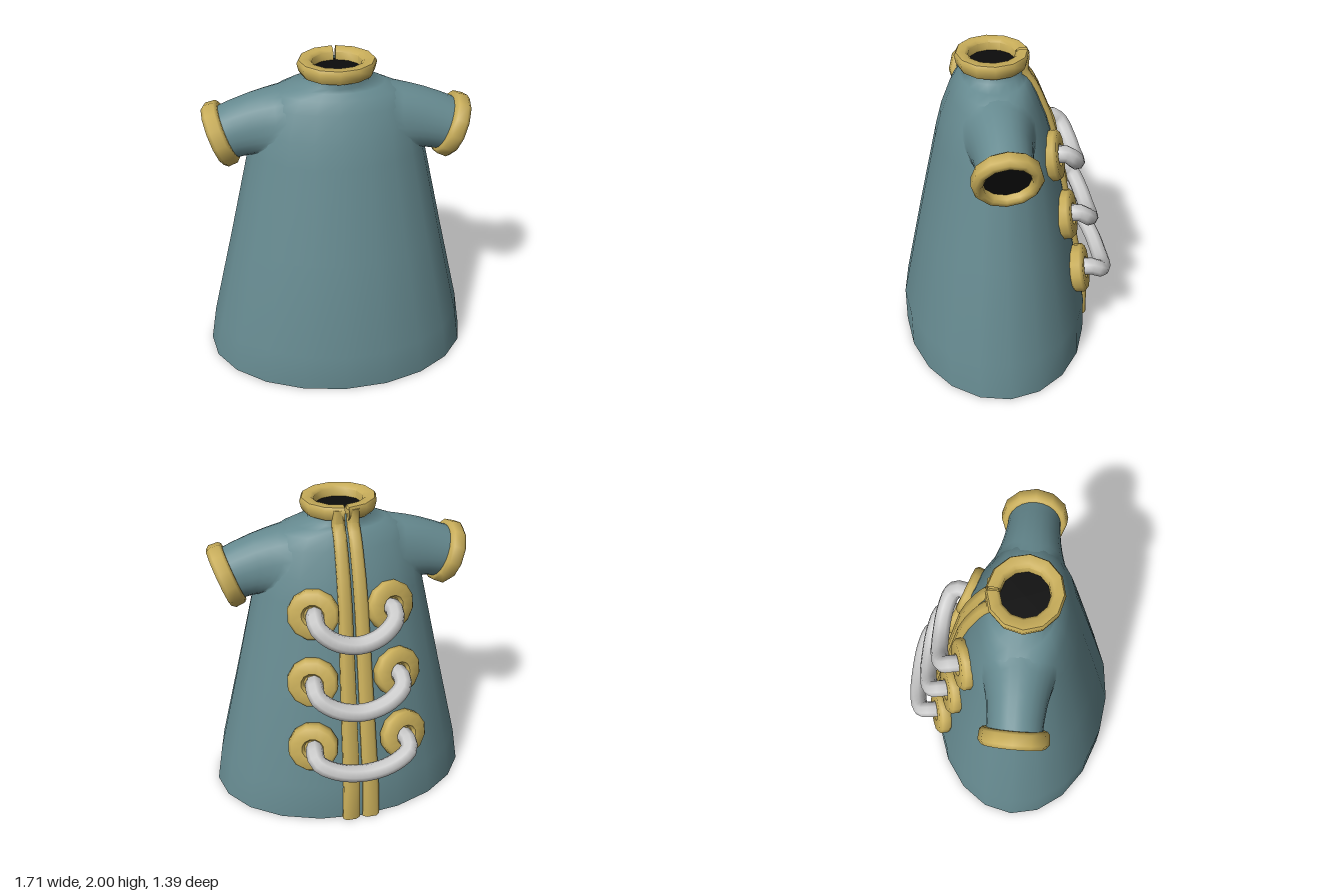
import * as THREE from 'three';
import { toCreasedNormals } from 'three/addons/utils/BufferGeometryUtils.js';

const mat = (color) => new THREE.MeshStandardMaterial({ color, side: THREE.DoubleSide });
const V = (x, y, z) => new THREE.Vector3(x, y, z);

// Body cross-sections: height, half width, front z, back z
const ROWS = [
  [0, 0.855, 0.69, -0.53], [0.25, 0.815, 0.69, -0.525], [0.85, 0.675, 0.565, -0.408],
  [1.45, 0.54, 0.435, -0.29], [1.6, 0.515, 0.395, -0.245], [1.75, 0.455, 0.338, -0.185],
  [1.82, 0.38, 0.3, -0.15], [1.855, 0.29, 0.268, -0.125], [1.875, 0.195, 0.255, -0.108],
  [1.95, 0.185, 0.255, -0.1],
];

// Ellipse of the body at any height
function sectionAt(y) {
  let i = 0;
  while (i < ROWS.length - 2 && ROWS[i + 1][0] < y) i++;
  const [p, q] = [ROWS[i], ROWS[i + 1]];
  const t = (y - p[0]) / (q[0] - p[0]);
  const [a, f, b] = [1, 2, 3].map((k) => p[k] + (q[k] - p[k]) * t);
  return { a, b: (f - b) / 2, zc: (f + b) / 2 };
}

// Outward direction of the body surface
function bodyNormal(x, y, z) {
  const level = (h) => {
    const e = sectionAt(h);
    return (x / e.a) ** 2 + ((z - e.zc) / e.b) ** 2;
  };
  const { a, b, zc } = sectionAt(y), d = 0.03;
  return V(x / a ** 2, (level(y + d) - level(y - d)) / (4 * d), (z - zc) / b ** 2).normalize();
}

// Skin over closed rings of points, optionally capped
function loft(rings, capped = false) {
  const n = rings[0].length, index = [];
  for (let r = 0; r < rings.length - 1; r++) {
    for (let i = 0; i < n; i++) {
      const a = r * n + i, b = r * n + (i + 1) % n;
      index.push(a, b, b + n, a, b + n, a + n);
    }
  }
  if (capped) {
    const top = (rings.length - 1) * n;
    for (let i = 1; i < n - 1; i++) index.push(0, i + 1, i, top, top + i, top + i + 1);
  }
  const geo = new THREE.BufferGeometry().setFromPoints(rings.flat());
  geo.setIndex(index);
  geo.computeVertexNormals();
  return geo;
}

// Copy across x = 0 with the faces and normals flipped to match
function mirrored(geo) {
  const g = geo.clone();
  for (const attr of [g.attributes.position, g.attributes.normal]) {
    for (let i = 0; i < attr.count; i++) attr.setX(i, -attr.getX(i));
  }
  const idx = g.index.array;
  for (let i = 0; i < idx.length; i += 3) [idx[i], idx[i + 1]] = [idx[i + 1], idx[i]];
  return g;
}

const lathe = (pts, segs, start = 0, len = Math.PI * 2) =>
  new THREE.LatheGeometry(pts.map(([x, y]) => new THREE.Vector2(x, y)), segs, start, len);

export function createModel() {
  const model = new THREE.Group();
  model.name = 'laceBackGown';
  const cloth = mat(0x668a90), gold = mat(0xc9ae5a), grey = mat(0xcccccc), dark = mat(0x0c0c0c);

  const add = (name, geo, material, crease) => {
    const mesh = new THREE.Mesh(crease ? toCreasedNormals(geo, crease) : geo, material);
    mesh.name = name;
    model.add(mesh);
  };
  const pair = (name, geo, material, crease) => {
    add(name + 'Left', geo, material, crease);
    add(name + 'Right', mirrored(geo), material, crease);
  };

  // Body
  add('body', loft(ROWS.map(([y, a, f, b]) => Array.from({ length: 20 }, (_, i) => {
    const t = (i / 20) * Math.PI * 2;
    return V(a * Math.sin(t), y, (f + b) / 2 + (f - b) / 2 * Math.cos(t));
  }))), cloth);

  // Sleeves flare from the body surface to a round end
  const sleeveRings = [0, 0.15, 0.3, 0.5, 0.75, 1].map((k) => Array.from({ length: 24 }, (_, i) => {
    const t = (i / 24) * Math.PI * 2, c = Math.cos(t), s = Math.sin(t);
    const y = 1.635 + 0.21 * c, z = 0.08 + 0.215 * s;
    const e = sectionAt(y);
    const root = V(e.a * Math.sqrt(1 - ((z - e.zc) / e.b) ** 2) - 0.008, y, z);
    const end = V(0.69 + 0.165 * c * 0.34, 1.55 + 0.165 * c * 0.94, 0.083 + 0.16 * s);
    const p = root.clone().lerp(end, k);
    p.z = end.z + (root.z - end.z) * (1 - k) ** 2;
    p.y += 0.018 * Math.sin(Math.PI * k) * Math.max(c, 0);
    return p;
  }));
  const sleeve = loft(sleeveRings);
  // Shade the sleeve root like the body so that the two blend
  sleeveRings[0].forEach((p, i) => {
    const n = bodyNormal(p.x, p.y, p.z);
    sleeve.attributes.normal.setXYZ(i, n.x, n.y, n.z);
  });
  pair('sleeve', sleeve, cloth);

  // Cuffs and their dark openings
  const tilt = (geo) => geo.rotateZ(-110 * Math.PI / 180).translate(0.7, 1.55, 0.083);
  pair('cuff', tilt(lathe([[0.14, -0.05], [0.185, -0.05], [0.2, -0.035], [0.205, 0.025],
    [0.185, 0.05], [0.155, 0.05], [0.14, 0.035], [0.14, -0.05]], 12)), gold, 1);
  pair('cuffOpening', tilt(new THREE.CircleGeometry(0.16, 12).rotateX(-Math.PI / 2)), dark);

  // Collar, split at the back
  add('collar', lathe([[0.15, -0.045], [0.215, -0.045], [0.227, -0.025], [0.237, 0.02],
    [0.225, 0.04], [0.17, 0.04], [0.15, 0.025], [0.15, -0.045]], 12, Math.PI + 0.05, Math.PI * 2 - 0.1)
    .scale(1, 1, 0.94).translate(0, 1.96, 0.08), gold, 1);
  add('neckOpening', new THREE.CircleGeometry(0.17, 16).rotateX(-Math.PI / 2).translate(0, 1.935, 0.08), dark);

  // Dark hem opening
  add('hemOpening', new THREE.CircleGeometry(1, 20).rotateX(Math.PI / 2)
    .scale(0.84, 1, 0.6).translate(0, 0.004, 0.08), dark);

  // Trim strips down the back, wider towards the hem
  const strip = [[0.008, 0.04], [0.1, 0.04], [0.1, -0.01], [0.082, -0.027], [0.03, -0.027], [0.008, -0.01]];
  const trimPath = [...ROWS.slice(0, -2).map((r) => [r[0], r[3]]), [1.9, -0.1], [1.985, -0.108]];
  pair('backTrim', loft(trimPath.map(([y, z]) => strip.map(([x, d]) =>
    V(x * (1.2 - 0.2 * y), y, z + d))), true), gold, 0.9);

  // Eyelets with sagging laces: x, y, lace drop, lace reach
  for (const [x, y, drop, reach] of [[0.24, 1.4, 0.15, 0.168], [0.27, 0.98, 0.145, 0.18], [0.295, 0.56, 0.11, 0.188]]) {
    const { a, b, zc } = sectionAt(y);
    const z = zc - b * Math.sqrt(1 - (x / a) ** 2) - 0.007 - (1.4 - y) * 0.035;
    const normal = bodyNormal(x, y, z);
    const eyelet = lathe([[0, -0.055], [0.14, -0.055], [0.158, -0.035], [0.158, 0.015], [0.14, 0.035],
      [0.07, 0.035], [0.055, 0.015], [0, 0.015]], 12);
    eyelet.applyQuaternion(new THREE.Quaternion().setFromUnitVectors(V(0, 1, 0), normal));
    pair('eyelet', eyelet.translate(x, y, z), gold, 0.9);

    const half = [[x - 0.01, 0, 0], [x + 0.005, 0.005, -reach * 0.4], [x - 0.005, -drop * 0.25, -reach * 0.7],
      [x * 0.6, -drop * 0.75, -reach * 0.93]];
    const pts = [...half, [0, -drop, -reach], ...half.slice().reverse().map(([px, py, pz]) => [-px, py, pz])];
    const curve = new THREE.CatmullRomCurve3(pts.map(([px, py, pz]) => V(px, y + py, z + pz)));
    add('lace', new THREE.TubeGeometry(curve, 24, 0.055, 8), grey);
  }
  return model;
}
